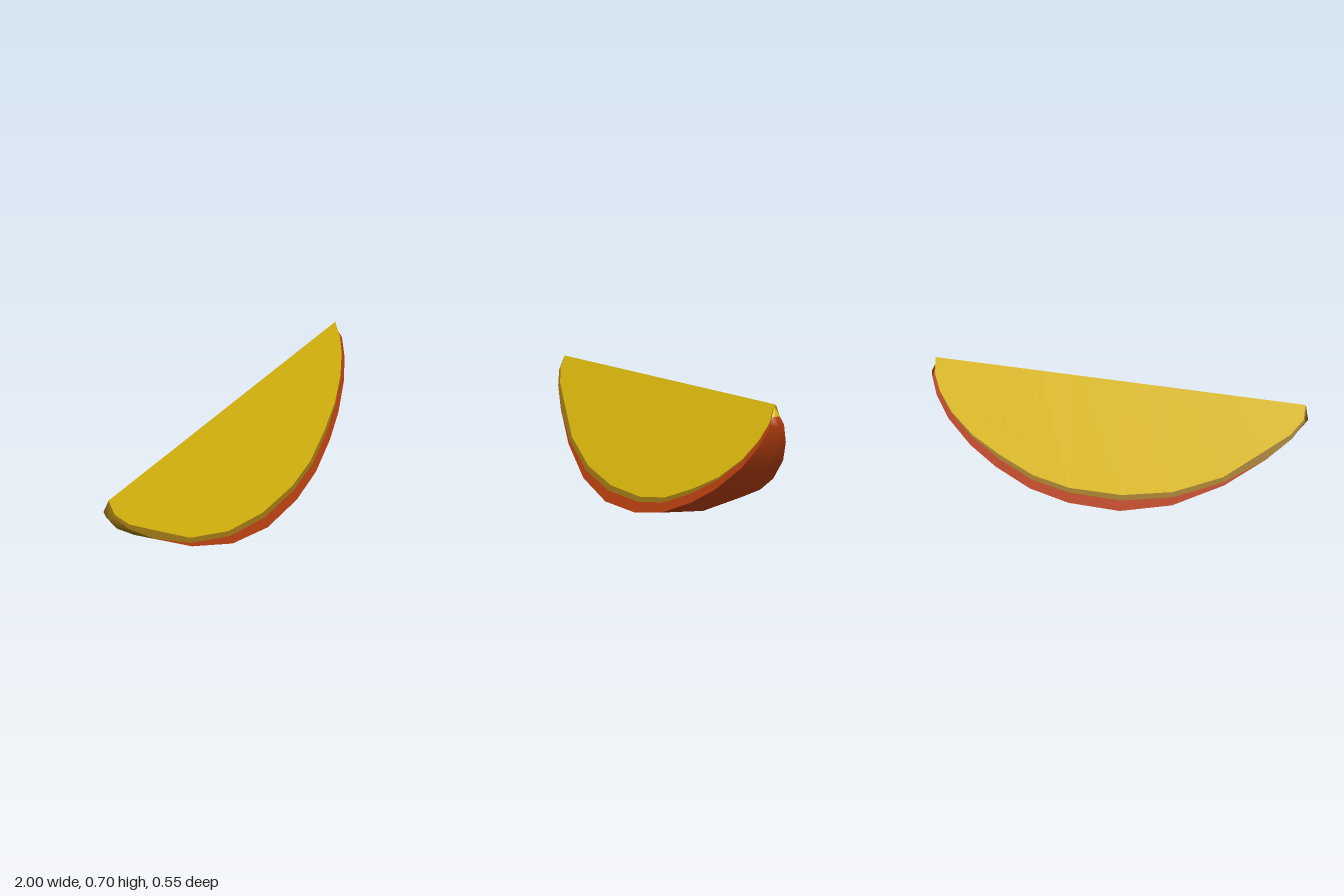
import * as THREE from 'three';

const paint = (name, color) => {
  const m = new THREE.MeshStandardMaterial({ color });
  m.name = name;
  return m;
};

// Outlines in x, y, from the left tip to the right tip of the wedge.
const tipL = [-0.98, 0.677], tipR = [0.95, 0.7];
const outline = (...pts) => [tipL, ...pts, tipR];
const ridge = outline([-1, 0.58], [-0.95, 0.49], [-0.83, 0.365], [-0.62, 0.195], [-0.36, 0.065],
  [-0.08, 0], [0.2, 0.008], [0.42, 0.058], [0.62, 0.155], [0.77, 0.25], [0.9, 0.375],
  [0.97, 0.49], [1, 0.6], [0.978, 0.645]);
const rim = outline([-0.985, 0.595], [-0.935, 0.51], [-0.815, 0.39], [-0.615, 0.235], [-0.355, 0.1],
  [-0.08, 0.035], [0.2, 0.042], [0.415, 0.09], [0.61, 0.18], [0.755, 0.275], [0.885, 0.4],
  [0.953, 0.51], [0.982, 0.605], [0.968, 0.642]);
const bandEdge = outline([-0.985, 0.595], [-0.935, 0.51], [-0.815, 0.39], [-0.61, 0.25], [-0.35, 0.14],
  [-0.08, 0.09], [0.2, 0.095], [0.405, 0.137], [0.595, 0.223], [0.75, 0.32], [0.87, 0.43],
  [0.938, 0.53], [0.969, 0.615], [0.963, 0.645]);
const fleshEdge = outline([-0.978, 0.605], [-0.922, 0.525], [-0.79, 0.42], [-0.605, 0.275], [-0.35, 0.167],
  [-0.08, 0.118], [0.2, 0.12], [0.4, 0.16], [0.59, 0.243], [0.748, 0.33], [0.868, 0.435],
  [0.936, 0.533], [0.967, 0.618], [0.962, 0.648]);
const last = rim.length - 1;

// Straight top edge where the two cut faces meet.
const topEdge = fleshEdge.map(([x]) => [x, 0.677 + (x - tipL[0]) * 0.023 / 1.93]);

// Places an outline on a cut face: the slope is positive in front and negative behind.
const onFace = (pts, slope) => pts.map(([x, y]) =>
  [x, y, -0.008 + slope * (0.677 + (x - tipL[0]) * 0.023 / 1.93 - y)]);

// Surface through rows of points, indexed column by column.
function loft(rows, flip = false) {
  const n = rows[0].length, index = [];
  for (let i = 0; i < n - 1; i++) {
    for (let r = 0; r < rows.length - 1; r++) {
      const a = r * n + i, b = a + 1, c = b + n, d = a + n;
      index.push(...(flip ? [a, c, b, a, d, c] : [a, b, c, a, c, d]));
    }
  }
  const g = new THREE.BufferGeometry();
  g.setAttribute('position', new THREE.Float32BufferAttribute(rows.flat(2), 3));
  g.setIndex(index);
  g.computeVertexNormals();
  return g;
}

export function createModel() {
  const flesh = paint('yellow flesh', 0xdcb90e);
  const band = paint('tan band', 0x967214);
  const skinMat = paint('rust skin', 0xb43e10);

  const model = new THREE.Group();
  model.name = 'wedge';
  const add = (name, geometry, material, parent) => {
    const mesh = new THREE.Mesh(geometry, material);
    mesh.name = name;
    parent.add(mesh);
  };

  // Flat cut faces: flesh, a thin band, then the edge of the skin.
  for (const [side, slope] of [['front', 0.435], ['back', -0.405]]) {
    const face = new THREE.Group();
    face.name = side + 'CutFace';
    const strip = (outer, inner) =>
      loft([onFace(outer, slope), onFace(inner, slope)], slope < 0);
    add(side + 'Flesh', strip(fleshEdge, topEdge), flesh, face);
    add(side + 'Band', strip(bandEdge, fleshEdge), band, face);
    add(side + 'SkinEdge', strip(rim, bandEdge), skinMat, face);
    model.add(face);
  }

  // Curved skin underneath: tan at the left end, yellow at the right tip.
  const ridgeRow = ridge.map(([x, y], i) => [x, y, i === 0 || i === last ? -0.008 : 0]);
  const skin = loft([onFace(rim, -0.405), ridgeRow, onFace(rim, 0.435)]);
  const perColumn = 12;
  skin.addGroup(0, 4 * perColumn, 0);
  skin.addGroup(4 * perColumn, (last - 5) * perColumn, 1);
  skin.addGroup((last - 1) * perColumn, perColumn, 2);
  add('skin', skin, [band, skinMat, flesh], model);

  return model;
}
